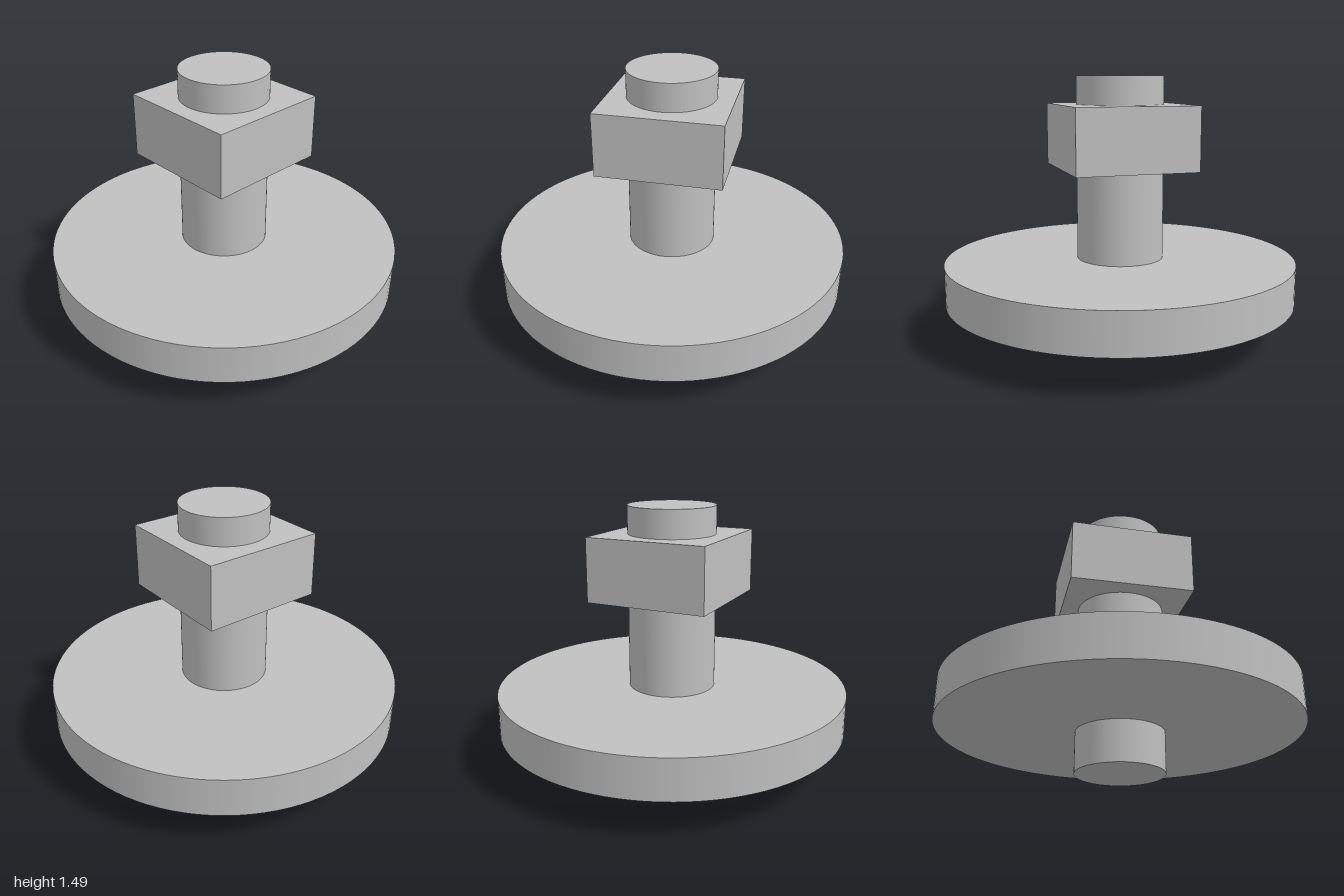
import * as THREE from 'three';

export function createModel() {
  const group = new THREE.Group();
  const steel = new THREE.MeshStandardMaterial({ color: 0xc0c0c0 });
  steel.name = 'steel grey';

  // Places a part so that its base sits at the given height
  const addPart = (name, geometry, bottom, height) => {
    const mesh = new THREE.Mesh(geometry, steel);
    mesh.name = name;
    mesh.position.y = bottom + height / 2;
    group.add(mesh);
  };
  const disc = (radius, height) => new THREE.CylinderGeometry(radius, radius, height, 96);

  // Round shaft running through the whole model
  addPart('shaft', disc(0.247, 1.488), 0, 1.488);
  // Wide round flange near the foot
  addPart('flange', disc(1, 0.225), 0.229, 0.225);
  // Square nut near the top
  addPart('squareNut', new THREE.BoxGeometry(0.692, 0.358, 0.692), 0.973, 0.358);

  return group;
}
